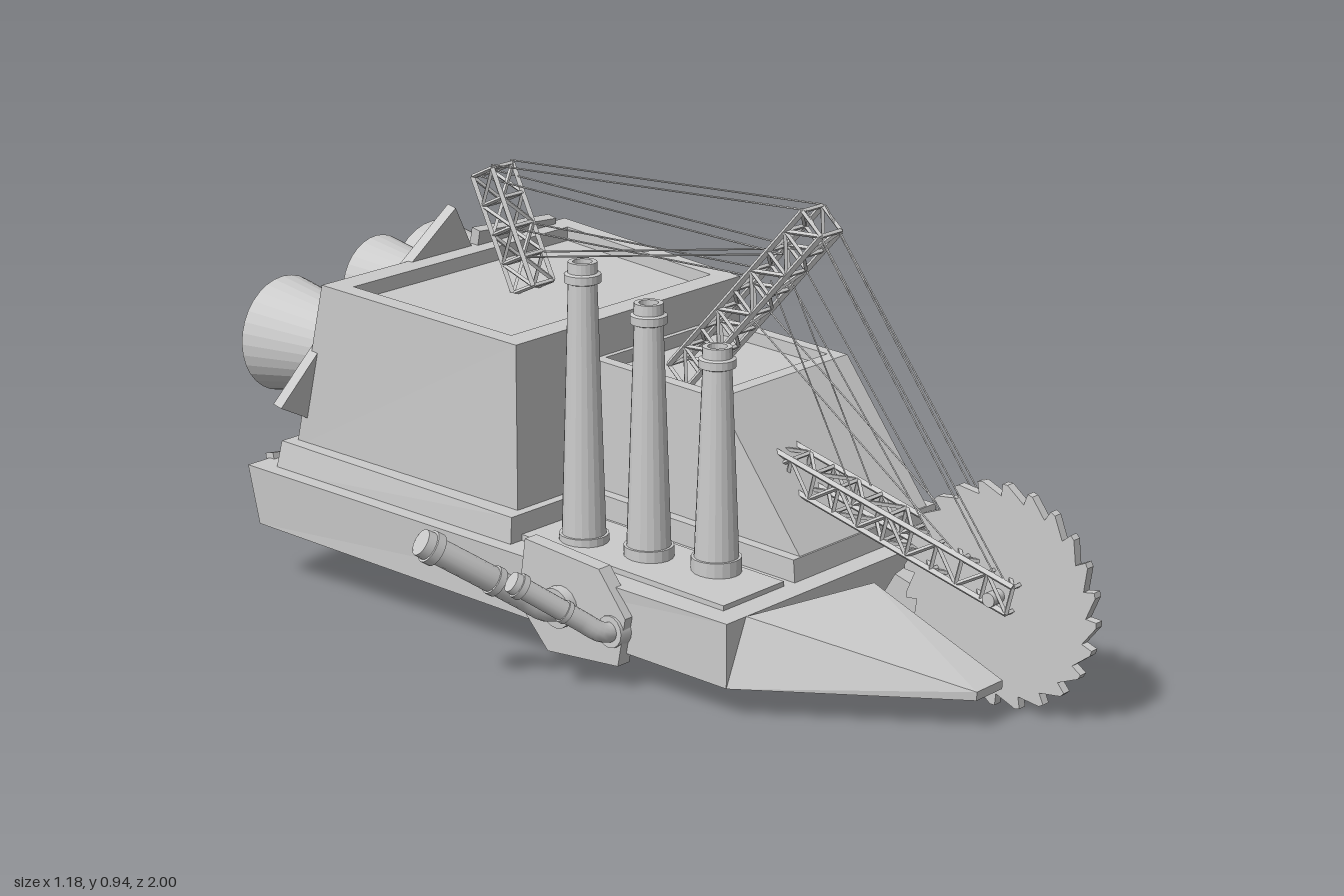
import * as THREE from 'three';
import { mergeGeometries } from 'three/addons/utils/BufferGeometryUtils.js';

const V = (x, y, z) => new THREE.Vector3(x, y, z);
const CX = 0.147; // centre line of the cutting gear

export function createModel() {
  const model = new THREE.Group();
  const mat = new THREE.MeshStandardMaterial({ color: 0xcccccc, side: THREE.DoubleSide });
  const flat = new THREE.MeshStandardMaterial({ color: 0xcccccc, side: THREE.DoubleSide, flatShading: true });

  const add = (name, geo, material = mat) => {
    const mesh = new THREE.Mesh(geo, material);
    mesh.name = name;
    model.add(mesh);
    return mesh;
  };

  // Four corners, front edge then rear edge: [x0, x1, y, z]
  const ring = (f, r) => [V(f[0], f[2], f[3]), V(f[1], f[2], f[3]), V(r[1], r[2], r[3]), V(r[0], r[2], r[3])];

  // Closed solid skinned over a stack of four-cornered loops
  const loft = (name, loops) => {
    const pos = [];
    const quad = (a, b, c, d) => [a, b, c, a, c, d].forEach((p) => pos.push(p.x, p.y, p.z));
    const [b0, b1, b2, b3] = loops[0];
    quad(b3, b2, b1, b0);
    for (let l = 0; l < loops.length - 1; l++)
      for (let i = 0; i < 4; i++) {
        const j = (i + 1) % 4;
        quad(loops[l][i], loops[l][j], loops[l + 1][j], loops[l + 1][i]);
      }
    quad(...loops[loops.length - 1]);
    const geo = new THREE.BufferGeometry();
    geo.setAttribute('position', new THREE.Float32BufferAttribute(pos, 3));
    geo.computeVertexNormals();
    return add(name, geo, flat);
  };

  // Hull, with a split prow that leaves a slot for the saw
  loft('hull', [
    ring([-0.27, 0.55, 0.065, 0.41], [-0.3, 0.58, 0.13, -0.88]),
    ring([-0.27, 0.55, 0.2, 0.41], [-0.31, 0.59, 0.262, -0.9]),
  ]);
  loft('prowRight', [
    [V(0, 0.065, 0.82), V(0.085, 0.065, 0.82), V(0.113, 0.065, 0.4), V(-0.27, 0.065, 0.41)],
    [V(0, 0.083, 0.82), V(0.085, 0.083, 0.82), V(0.111, 0.2, 0.48), V(-0.21, 0.2, 0.41)],
  ]);
  loft('prowLeft', [
    [V(0.205, 0.065, 0.82), V(0.295, 0.065, 0.82), V(0.55, 0.065, 0.41), V(0.178, 0.065, 0.4)],
    [V(0.205, 0.083, 0.82), V(0.295, 0.083, 0.82), V(0.49, 0.2, 0.41), V(0.18, 0.2, 0.48)],
  ]);

  // Plinths under both houses
  loft('frontPlinth', [
    ring([0, 0.475, 0.19, 0.365], [0, 0.475, 0.22, -0.2]),
    ring([0, 0.475, 0.25, 0.36], [0, 0.475, 0.28, -0.2]),
  ]);
  loft('rearPlinth', [
    ring([-0.255, 0.55, 0.21, -0.18], [-0.275, 0.57, 0.25, -0.85]),
    ring([-0.25, 0.545, 0.285, -0.18], [-0.265, 0.56, 0.318, -0.84]),
  ]);

  // Houses with recessed roofs
  loft('frontHouse', [
    ring([0.025, 0.45, 0.245, 0.36], [0.025, 0.45, 0.27, -0.21]),
    ring([0.025, 0.45, 0.54, 0.14], [0.025, 0.45, 0.56, -0.21]),
    ring([0.055, 0.42, 0.542, 0.11], [0.055, 0.42, 0.558, -0.19]),
    ring([0.055, 0.42, 0.515, 0.11], [0.055, 0.42, 0.53, -0.19]),
  ]);
  loft('rearHouse', [
    ring([-0.21, 0.505, 0.27, -0.2], [-0.235, 0.53, 0.3, -0.825]),
    ring([-0.21, 0.505, 0.64, -0.2], [-0.235, 0.53, 0.677, -0.735]),
    ring([-0.17, 0.465, 0.643, -0.25], [-0.19, 0.485, 0.673, -0.685]),
    ring([-0.17, 0.465, 0.612, -0.25], [-0.19, 0.485, 0.642, -0.685]),
  ]);
  loft('stackDeck', [
    ring([-0.22, -0.03, 0.19, 0.36], [-0.22, -0.03, 0.22, -0.2]),
    ring([-0.22, -0.03, 0.213, 0.36], [-0.22, -0.03, 0.242, -0.2]),
  ]);

  // Tapered smokestacks: [x, z, top]
  [[-0.145, -0.075, 0.825], [-0.115, 0.075, 0.76], [-0.08, 0.225, 0.69]].forEach(([x, z, top]) => {
    const profile = [[0.052, 0.2], [0.052, 0.25], [0.046, 0.25], [0.03, top - 0.045], [0.038, top - 0.042],
      [0.038, top - 0.025], [0.031, top - 0.022], [0.03, top], [0.02, top], [0.018, top - 0.08], [0, top - 0.08]];
    const geo = new THREE.LatheGeometry(profile.map((p) => new THREE.Vector2(...p)), 20);
    add('smokestack', geo, flat).position.set(x, 0, z);
  });

  // Rocket-like rear nozzles: [x, y, mouth z, mouth radius, length]
  [[0.375, 0.515, -1, 0.142, 0.23], [-0.11, 0.5, -0.985, 0.128, 0.2],
    [0.125, 0.575, -0.93, 0.108, 0.17], [0.19, 0.39, -0.93, 0.065, 0.14]].forEach(([x, y, z, r, len]) => {
    const profile = [[r * 0.7, -0.03], [r * 0.7, 0], [r, len], [r * 0.87, len], [r * 0.58, len * 0.2], [0, len * 0.2]];
    const geo = new THREE.LatheGeometry(profile.map((p) => new THREE.Vector2(...p)), 32);
    const nozzle = add('nozzle', geo, flat);
    nozzle.rotation.x = -Math.PI / 2;
    nozzle.position.set(x, y, z + len);
  });

  // Flat polygon plates, tilted about the ground line at z0
  const plate = (name, pts, z0, tilt, framed) => {
    const pv = pts.map(([x, y]) => new THREE.Vector2(x, y / Math.cos(tilt)));
    const shape = new THREE.Shape(pv);
    const parts = [];
    if (framed) {
      const mid = pv.reduce((s, p) => s.add(p), new THREE.Vector2()).divideScalar(pv.length);
      const inner = pv.map((p) => p.clone().lerp(mid, 0.2));
      shape.holes.push(new THREE.Path(inner));
      parts.push(new THREE.ExtrudeGeometry(new THREE.Shape(inner), { depth: 0.012, bevelEnabled: false }).translate(0, 0, 0.009));
    }
    parts.push(new THREE.ExtrudeGeometry(shape, { depth: 0.024, bevelEnabled: false }));
    const mesh = add(name, mergeGeometries(parts), flat);
    mesh.rotation.x = tilt;
    mesh.position.z = z0;
  };
  plate('nozzlePlate', [[-0.32, 0.42], [-0.13, 0.66], [0.06, 0.55], [0.04, 0.33], [-0.12, 0.32]], -0.905, 0.236);
  plate('nozzlePlate', [[0.14, 0.785], [-0.05, 0.61], [0.1, 0.33], [0.26, 0.33], [0.33, 0.52]], -0.912, 0.236);
  plate('nozzlePlate', [[0.225, 0.715], [0.48, 0.695], [0.5, 0.42], [0.36, 0.34], [0.24, 0.45]], -0.905, 0.236);
  plate('rearPad', [[0.14, 0.17], [0.05, 0.23], [-0.245, 0.27], [-0.25, 0.15], [-0.1, 0.045]], -0.845, -0.25, true);
  plate('rearPad', [[0.59, 0.23], [0.36, 0.24], [0.23, 0.12], [0.29, 0.085], [0.585, 0.1]], -0.845, -0.25, true);

  // Side plate carrying the exhaust pipes
  const sideShape = new THREE.Shape([[-0.12, 0.13], [-0.1, 0.27], [0.1, 0.25], [0.17, 0.16], [0.15, 0.055], [-0.04, 0.042]]
    .map((p) => new THREE.Vector2(...p)));
  const side = add('exhaustPlate', new THREE.ExtrudeGeometry(sideShape, { depth: 0.035, bevelEnabled: false }), flat);
  side.rotation.y = -Math.PI / 2;
  side.position.x = -0.262;

  // Cylinder between two points
  const rod = (a, b, r0, r1 = r0, sides = 6) => {
    const dir = b.clone().sub(a);
    const q = new THREE.Quaternion().setFromUnitVectors(V(0, 1, 0), dir.clone().normalize());
    return new THREE.CylinderGeometry(r1, r0, dir.length(), sides)
      .applyQuaternion(q).translate(...a.clone().add(b).multiplyScalar(0.5).toArray());
  };

  // Swept exhaust pipes with collars: path points and radius
  [[[V(-0.27, 0.15, 0), V(-0.33, 0.15, -0.005), V(-0.38, 0.185, -0.03), V(-0.46, 0.245, -0.065), V(-0.575, 0.33, -0.122)], 0.027],
    [[V(-0.27, 0.125, 0.135), V(-0.32, 0.13, 0.13), V(-0.36, 0.16, 0.108), V(-0.41, 0.2, 0.08), V(-0.485, 0.26, 0.037)], 0.021]]
    .forEach(([pts, r]) => {
      const curve = new THREE.CatmullRomCurve3(pts);
      const at = (t) => curve.getPointAt(t);
      add('exhaustPipe', mergeGeometries([
        new THREE.TubeGeometry(curve, 24, r, 14),
        rod(pts[0], at(0.12), r * 1.6, r * 1.6, 16),
        rod(at(0.5), at(0.54), r * 1.15, r * 1.15, 16),
        rod(at(0.9), at(0.95), r * 1.28, r * 1.28, 16),
        rod(at(0.94), at(1), r * 1.1, r * 1.05, 16),
      ]));
    });

  // Circular saw with hooked teeth
  const saw = new THREE.Shape();
  const teeth = 24;
  for (let i = 0; i <= teeth; i++) {
    const a = (i / teeth) * Math.PI * 2;
    const p = (r, t) => [Math.cos(t) * r, Math.sin(t) * r];
    if (i === 0) saw.moveTo(...p(0.207, a));
    else {
      saw.lineTo(...p(0.232, a - 0.06));
      saw.lineTo(...p(0.232, a - 0.01));
      saw.lineTo(...p(0.207, a));
    }
  }
  const blade = add('sawBlade', new THREE.ExtrudeGeometry(saw, { depth: 0.02, bevelEnabled: false }), flat);
  blade.rotation.y = -Math.PI / 2;
  blade.position.set(CX + 0.01, 0.233, 0.768);
  add('sawAxle', rod(V(CX - 0.045, 0.233, 0.768), V(CX + 0.045, 0.233, 0.768), 0.015, 0.015, 12));

  // Box lattice girders between two centre points
  const girder = (name, a, b, cells, depth) => {
    const dir = b.clone().sub(a).normalize();
    const up = V(0, dir.z, -dir.y).multiplyScalar(depth / 2);
    const corners = [[-1, -1], [1, -1], [1, 1], [-1, 1]].map(([sx, sn]) => up.clone().multiplyScalar(sn).add(V(sx * 0.032, 0, 0)));
    const node = (k, c) => a.clone().lerp(b, k / cells).add(corners[c % 4]);
    const parts = [];
    for (let c = 0; c < 4; c++) {
      parts.push(rod(node(0, c), node(cells, c), 0.007, 0.007, 4));
      for (let k = 0; k <= cells; k++) {
        parts.push(rod(node(k, c), node(k, c + 1), 0.005, 0.005, 4));
        if (k < cells) parts.push(rod(node(k + k % 2 * 1, c).clone(), node(k % 2 ? k : k + 1, c + 1), 0.005, 0.005, 4));
        if (k < cells) parts.push(k % 2 ? rod(node(k + 1, c), node(k, c + 1), 0.005, 0.005, 4)
          : rod(node(k, c), node(k + 1, c + 1), 0.005, 0.005, 4));
      }
    }
    add(name, mergeGeometries(parts), flat);
  };
  girder('sawArm', V(CX, 0.238, 0.81), V(CX, 0.4, 0.19), 10, 0.06);
  girder('mainBoom', V(CX, 0.915, 0.305), V(CX, 0.53, -0.045), 8, 0.065);
  girder('rearMast', V(CX, 0.88, -0.595), V(CX, 0.64, -0.48), 4, 0.065);

  // Paired rigging cables: [y, z] to [y, z]
  const cables = [];
  [[0.94, 0.28, 0.9, -0.57], [0.84, 0.23, 0.87, -0.61], [0.78, 0.14, 0.77, -0.53], [0.84, 0.23, 0.71, -0.49],
    [0.94, 0.29, 0.27, 0.8], [0.89, 0.325, 0.27, 0.78], [0.8, 0.24, 0.32, 0.62], [0.7, 0.14, 0.29, 0.7], [0.78, 0.2, 0.37, 0.42]]
    .forEach(([y0, z0, y1, z1]) => [-0.03, 0.03].forEach((dx) =>
      cables.push(rod(V(CX + dx, y0, z0), V(CX + dx, y1, z1), 0.002, 0.002, 4))));
  add('cables', mergeGeometries(cables));

  return model;
}
